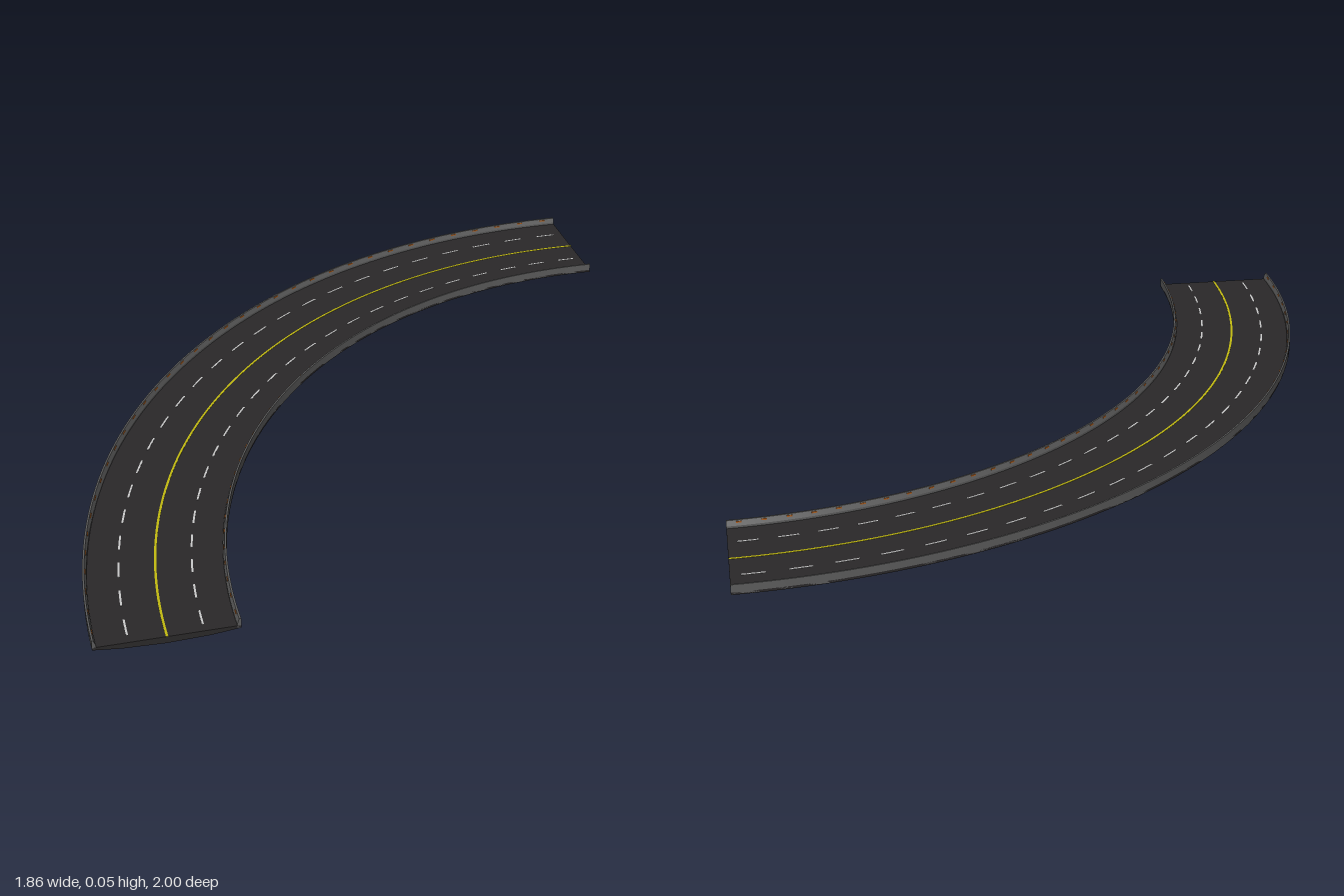
import * as THREE from 'three';
import { mergeGeometries } from 'three/addons/utils/BufferGeometryUtils.js';

const HALF = 0.183; // half width of the road
const DECK = 0.031; // height of the road surface

// Quarter bend; t runs 0..1, u is the offset towards the outside of the bend.
function roadPoint(t, u, y) {
  const a = t * Math.PI / 2, c = Math.cos(a), s = Math.sin(a);
  const nx = -1.815 * c, nz = -1.675 * s, len = Math.hypot(nx, nz);
  const drop = 0.012 * Math.max(0, 2 * t - 1) ** 2; // gentle slope down to the far end
  return [0.93 - 1.675 * c + u * nx / len, y - drop, 1 - 1.815 * s + u * nz / len];
}

// Sweeps a convex counter-clockwise [u, y] profile along the bend, with end caps.
function sweep(profile, t0 = 0, t1 = 1, steps = 72) {
  const pos = [], index = [];
  const n = profile.length;
  profile.forEach((p, k) => {
    const q = profile[(k + 1) % n], base = pos.length / 3;
    for (let i = 0; i <= steps; i++) {
      const t = t0 + (t1 - t0) * i / steps;
      pos.push(...roadPoint(t, ...p), ...roadPoint(t, ...q));
      if (i < steps) {
        const a = base + 2 * i;
        index.push(a, a + 1, a + 3, a, a + 3, a + 2);
      }
    }
  });
  [t0, t1].forEach((t, end) => {
    const base = pos.length / 3;
    profile.forEach((p) => pos.push(...roadPoint(t, ...p)));
    for (let k = 1; k < n - 1; k++) {
      if (end) index.push(base, base + k, base + k + 1);
      else index.push(base, base + k + 1, base + k);
    }
  });
  const g = new THREE.BufferGeometry();
  g.setAttribute('position', new THREE.Float32BufferAttribute(pos, 3));
  g.setIndex(index);
  g.computeVertexNormals();
  return g;
}

const rect = (u, y, w, h) => [
  [u - w / 2, y], [u + w / 2, y], [u + w / 2, y + h], [u - w / 2, y + h],
];

// Evenly repeated short pieces of one profile.
function dashes(profile, count, fill, steps) {
  const parts = [];
  for (let i = 0; i < count; i++) {
    const mid = (i + 0.5) / count, half = fill / count / 2;
    parts.push(sweep(profile, mid - half, mid + half, steps));
  }
  return mergeGeometries(parts);
}

export function createModel() {
  const group = new THREE.Group();
  const add = (name, geometry, color) => {
    const mesh = new THREE.Mesh(geometry, new THREE.MeshStandardMaterial({ color }));
    mesh.name = name;
    group.add(mesh);
  };

  // Road slab with a shallow keel underneath
  add('roadDeck', sweep([
    [-HALF, 0.024], [-0.11, 0.016], [0, 0.012], [0.11, 0.016], [HALF, 0.024],
    [HALF, DECK], [-HALF, DECK],
  ]), 0x2a2829);

  // Painted lines
  add('centreLine', sweep(rect(0, DECK, 0.006, 0.0008)), 0xc4bc10);
  for (const side of [-1, 1]) {
    const label = side > 0 ? 'outer' : 'inner';
    add(label + 'LaneDashes', dashes(rect(side * 0.093, DECK, 0.005, 0.0008), 24, 0.52, 4), 0xdddddd);

    // Side barrier, wider at its foot
    const e = side * HALF, foot = e - side * 0.010, top = e - side * 0.005;
    const wall = [[foot, 0.026], [e, 0.024], [e, 0.051], [top, 0.051], [foot, 0.037]];
    add(label + 'Barrier', sweep(side > 0 ? wall : wall.reverse()), 0x5c5c5c);

    // Small amber reflectors on the road side of the barrier
    add(label + 'Reflectors', dashes(rect(e - side * 0.0065, 0.044, 0.003, 0.004), 36, 0.22, 1), 0xb06020);
  }
  return group;
}
